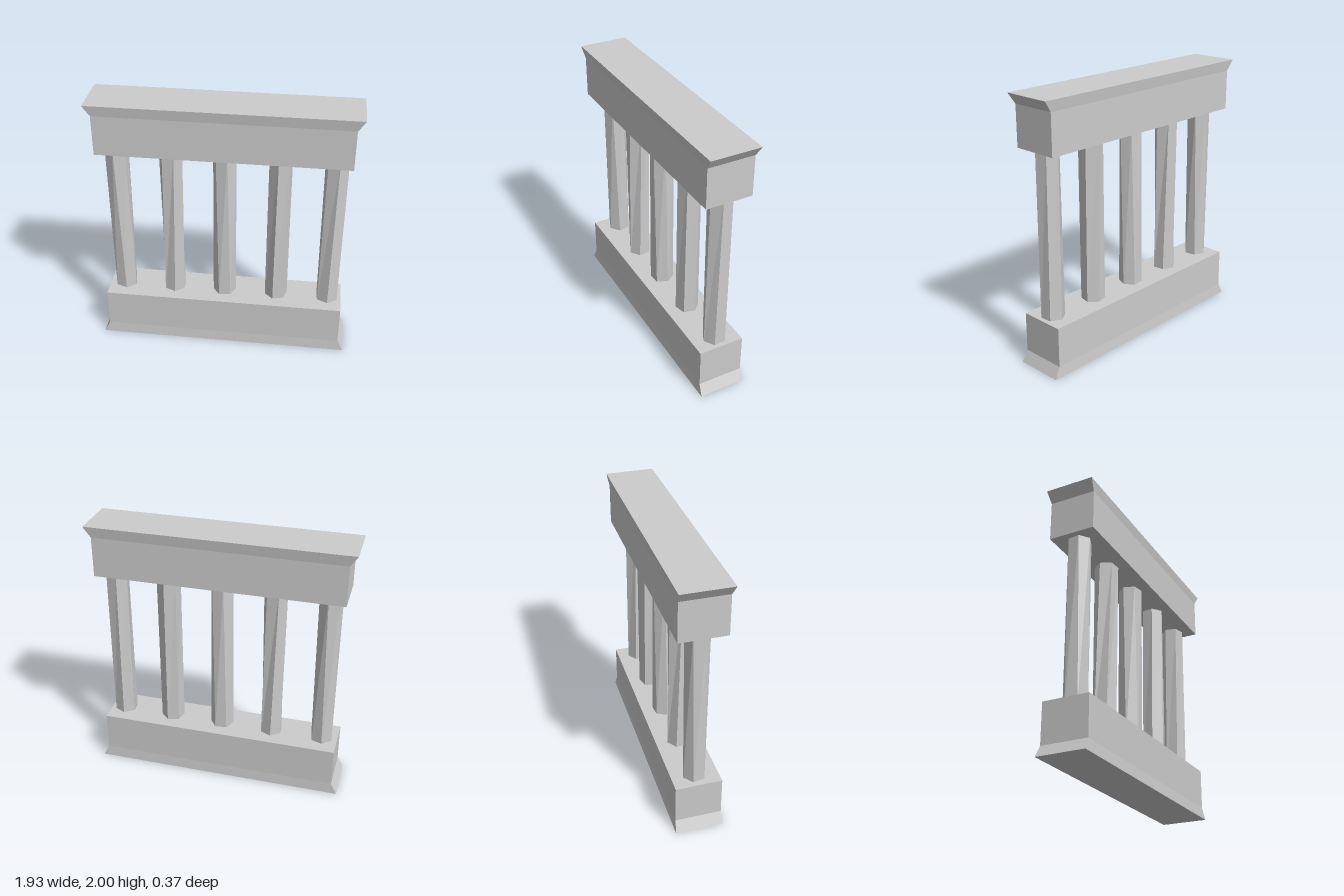
import * as THREE from 'three';

const material = new THREE.MeshStandardMaterial({ color: 0xcccccc, flatShading: true });

// Box beam whose three levels [y, halfWidth, halfDepth] give it a flared rim
function beam(name, levels) {
  const geometry = new THREE.BoxGeometry(2, 2, 2, 1, 2, 1);
  const p = geometry.attributes.position;
  for (let i = 0; i < p.count; i++) {
    const [y, w, d] = levels[Math.round(p.getY(i)) + 1];
    p.setXYZ(i, p.getX(i) * w, y, p.getZ(i) * d);
  }
  geometry.computeVertexNormals();
  const mesh = new THREE.Mesh(geometry, material);
  mesh.name = name;
  return mesh;
}

// Six-sided bar, turned by a different angle (degrees) at each end
function bar(x, bottomTurn, topTurn) {
  const height = 1.28;
  const geometry = new THREE.CylinderGeometry(0.088, 0.088, height, 6);
  const p = geometry.attributes.position;
  for (let i = 0; i < p.count; i++) {
    const a = THREE.MathUtils.degToRad(p.getY(i) > 0 ? topTurn : bottomTurn);
    const px = p.getX(i), pz = p.getZ(i);
    p.setX(i, px * Math.cos(a) - pz * Math.sin(a));
    p.setZ(i, px * Math.sin(a) + pz * Math.cos(a));
  }
  geometry.computeVertexNormals();
  const mesh = new THREE.Mesh(geometry, material);
  mesh.position.set(x, 1, 0);
  return mesh;
}

export function createModel() {
  const group = new THREE.Group();
  group.name = 'barredPanel';

  // Base and top rail
  group.add(beam('baseRail', [[0, 0.957, 0.18], [0.085, 0.913, 0.173], [0.385, 0.913, 0.173]]));
  group.add(beam('topRail', [[1.62, 0.913, 0.173], [1.92, 0.913, 0.173], [2, 0.966, 0.184]]));

  // Slightly twisted bars: x, turn at the bottom, turn at the top
  const bars = [
    [-0.79, -10, 7],
    [-0.395, -6, -25],
    [0, 24, 41],
    [0.405, 14, 8],
    [0.803, -4, -13],
  ];
  bars.forEach(([x, bottom, top], i) => {
    const mesh = bar(x, bottom, top);
    mesh.name = `bar${i + 1}`;
    group.add(mesh);
  });
  return group;
}
